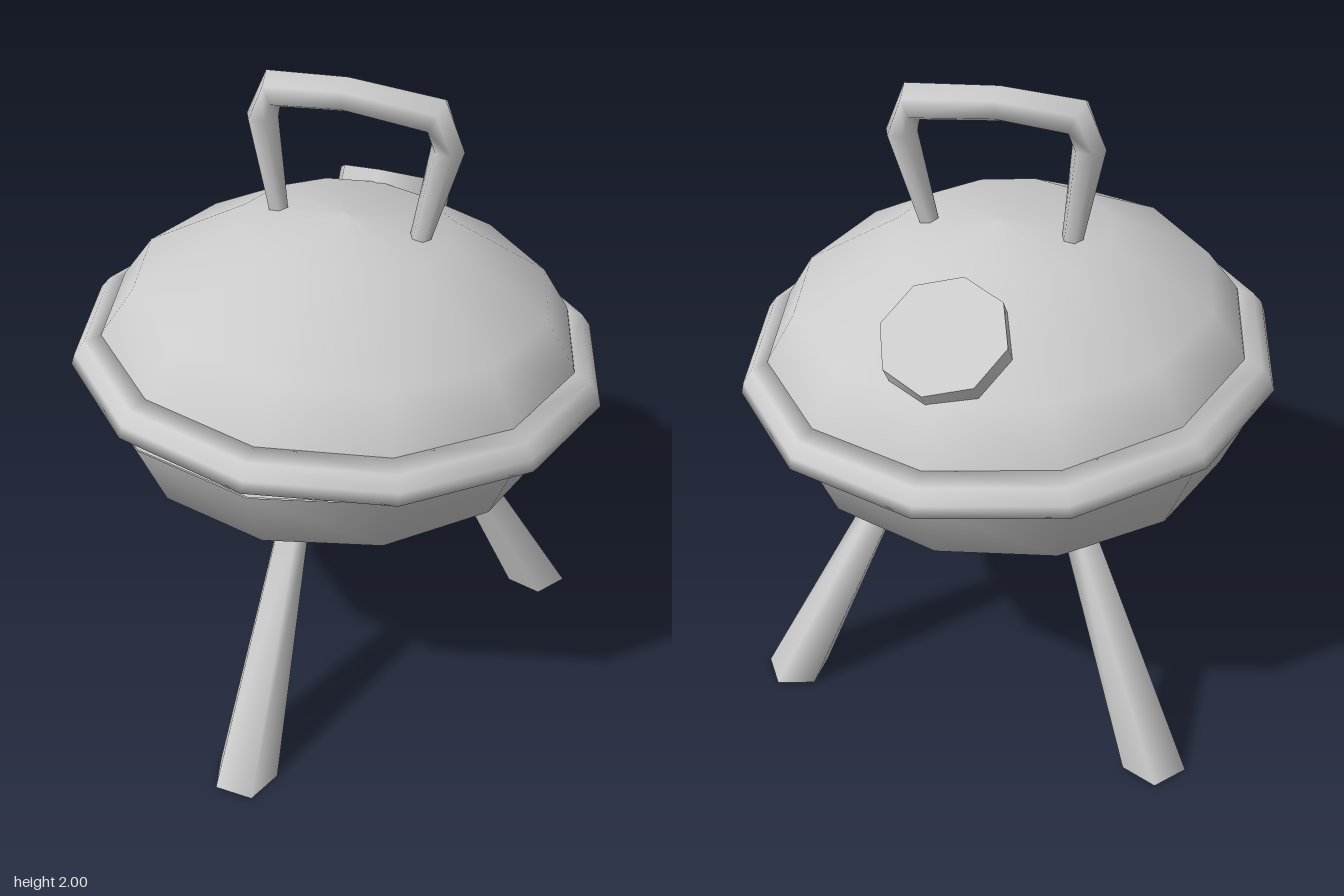
import * as THREE from 'three';

const material = new THREE.MeshStandardMaterial({ color: 0xcccccc, side: THREE.DoubleSide });
const SIDES = 12;
const TWIST = 0.03;

function part(name, geometry, parent) {
  const mesh = new THREE.Mesh(geometry, material);
  mesh.name = name;
  parent.add(mesh);
  return mesh;
}

// Twelve-sided turned shape from [radius, height] pairs
function turned(profile) {
  const points = profile.map(([r, y]) => new THREE.Vector2(r, y));
  return new THREE.LatheGeometry(points, SIDES).rotateY(TWIST);
}

// Tapered five-sided leg with level ends, one flat turned outwards
function legGeometry(bottom, top) {
  const height = top.y - bottom.y;
  const g = new THREE.CylinderGeometry(0.05, 0.102, height, 5);
  g.rotateY(Math.atan2(bottom.x, bottom.z) + Math.PI);
  const p = g.attributes.position;
  for (let i = 0; i < p.count; i++) {
    const c = bottom.clone().lerp(top, p.getY(i) / height + 0.5);
    p.setXYZ(i, p.getX(i) + c.x, c.y, p.getZ(i) + c.z);
  }
  g.computeVertexNormals();
  return g;
}

// Bar swept along [x, y, z, radius] stations with mitred bends
function barGeometry(stations, sides) {
  const positions = [], index = [];
  const last = stations.length - 1;
  stations.forEach(([x, y, z, r], i) => {
    const a = stations[Math.max(i - 1, 0)], b = stations[Math.min(i + 1, last)];
    const t = new THREE.Vector2(b[0] - a[0], b[1] - a[1]).normalize();
    for (let k = 0; k < sides; k++) {
      const angle = (k / sides) * Math.PI * 2;
      const n = Math.cos(angle) * r;
      positions.push(x - t.y * n, y + t.x * n, z + Math.sin(angle) * r * 1.1);
      if (i < last) {
        const p = i * sides + k, q = i * sides + (k + 1) % sides;
        index.push(p, q, p + sides, q, q + sides, p + sides);
      }
    }
  });
  const g = new THREE.BufferGeometry();
  g.setAttribute('position', new THREE.Float32BufferAttribute(positions, 3));
  g.setIndex(index);
  g.computeVertexNormals();
  return g;
}

export function createModel() {
  const model = new THREE.Group();
  model.name = 'kettleGrill';

  // Bowl and the flat grate across its mouth
  const bowl = part('bowl', turned([[0, 0.615], [0.325, 0.645], [0.675, 0.855], [0.77, 1.08]]), model);
  bowl.position.set(-0.01, 0, -0.04);
  const grate = part('grate', new THREE.CircleGeometry(0.765, SIDES).rotateX(-Math.PI / 2).rotateY(TWIST), model);
  grate.position.set(-0.01, 1.079, -0.04);

  // Slightly tilted lid: dome and rolled rim
  const lid = new THREE.Group();
  lid.name = 'lid';
  lid.position.set(0, 1.11, -0.027);
  lid.rotation.set(-0.048, 0, -0.036);
  model.add(lid);
  part('dome', turned([[0.765, 0], [0.73, 0.105], [0.637, 0.245], [0.325, 0.43], [0, 0.465]]), lid);
  part('rim', turned([
    [0.72, -0.015], [0.825, 0], [0.815, 0.035], [0.785, 0.075], [0.72, 0.1], [0.72, -0.015],
  ]), lid);

  // Vent cap on the back of the lid
  const vent = part('vent', new THREE.CylinderGeometry(0.188, 0.188, 0.07, 8), model);
  vent.position.set(0, 1.435, -0.522);
  vent.rotation.x = -0.55;

  // Handle
  part('handle', barGeometry([
    [-0.2, 1.52, -0.05, 0.03],
    [-0.248, 1.85, -0.05, 0.05],
    [-0.215, 1.935, -0.055, 0.058],
    [0.01, 1.947, -0.065, 0.053],
    [0.275, 1.918, -0.075, 0.058],
    [0.31, 1.825, -0.075, 0.05],
    [0.235, 1.5, -0.05, 0.03],
  ], 6), model);

  // Three splayed legs
  const legs = [
    ['frontLeg', [-0.018, 0, 0.762], [-0.015, 0.72, 0.325]],
    ['backLeftLeg', [0.587, 0, -0.48], [0.295, 0.72, -0.24]],
    ['backRightLeg', [-0.65, 0, -0.48], [-0.29, 0.72, -0.24]],
  ];
  for (const [name, bottom, top] of legs) {
    part(name, legGeometry(new THREE.Vector3(...bottom), new THREE.Vector3(...top)), model);
  }
  return model;
}
